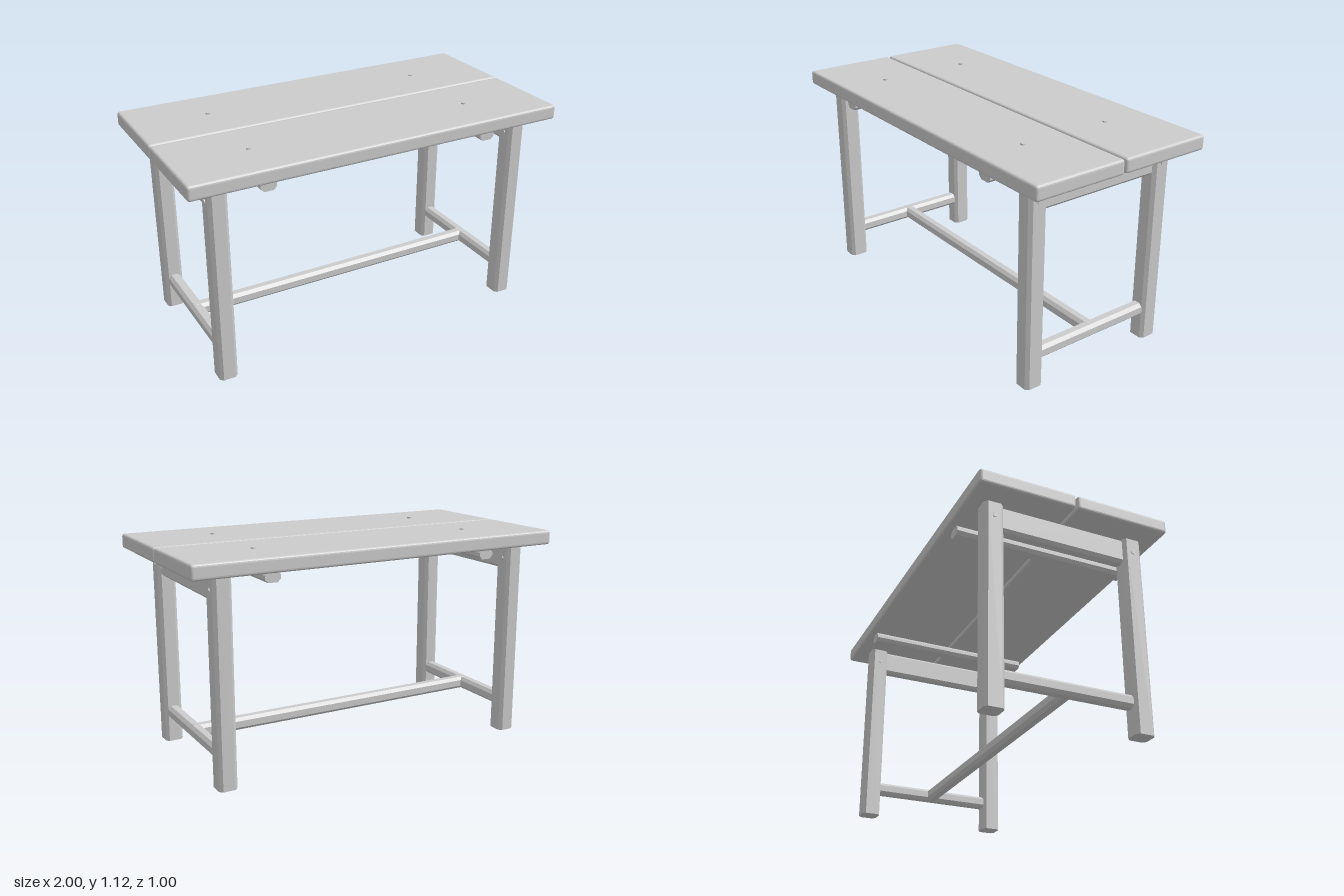
import * as THREE from 'three';
import { RoundedBoxGeometry } from 'three/addons/geometries/RoundedBoxGeometry.js';

const wood = new THREE.MeshStandardMaterial({ color: 0xcccccc, flatShading: true });

// Straight bar with four chamfered long edges, centred, running along z
function barGeometry(w, h, length, c) {
  const x = w / 2, y = h / 2;
  const s = new THREE.Shape([
    [x - c, -y], [x, -y + c], [x, y - c], [x - c, y],
    [-x + c, y], [-x, y - c], [-x, -y + c], [-x + c, -y],
  ].map(([a, b]) => new THREE.Vector2(a, b)));
  return new THREE.ExtrudeGeometry(s, { depth: length, bevelEnabled: false }).translate(0, 0, -length / 2);
}

function add(parent, name, geometry, x, y, z) {
  const mesh = new THREE.Mesh(geometry, wood);
  mesh.name = name;
  mesh.position.set(x, y, z);
  parent.add(mesh);
  return mesh;
}

export function createModel() {
  const table = new THREE.Group();
  table.name = 'table';

  // Two top planks with a narrow gap
  const plank = new RoundedBoxGeometry(2, 0.075, 0.496, 2, 0.014);
  add(table, 'frontPlank', plank, 0, 1.071, 0.252);
  add(table, 'backPlank', plank, 0, 1.071, -0.252);

  // Base sits a hair off centre under the top
  const base = new THREE.Group();
  base.name = 'base';
  base.position.set(-0.005, 0, 0.002);
  table.add(base);

  const leg = barGeometry(0.094, 0.099, 1.034, 0.016).rotateX(-Math.PI / 2);
  const apron = barGeometry(0.06, 0.134, 0.66, 0.015);
  const sideRail = barGeometry(0.065, 0.066, 0.66, 0.016);
  const batten = barGeometry(0.08, 0.05, 0.925, 0.016);
  const screw = new THREE.CylinderGeometry(0.012, 0.013, 0.02, 12);
  const bolt = new THREE.CylinderGeometry(0.011, 0.011, 0.104, 12).rotateZ(Math.PI / 2);

  for (const sx of [-1, 1]) {
    const side = sx > 0 ? 'left' : 'right';
    for (const sz of [-1, 1]) {
      const end = sz > 0 ? 'Front' : 'Back';
      add(base, `${side}${end}Leg`, leg, sx * 0.829, 0.517, sz * 0.373);
      add(base, `${side}${end}Bolt`, bolt, sx * 0.829, 0.96, sz * 0.373);
      add(base, `${side}${end}Screw`, screw, sx * 0.602, 1.105, sz * 0.25);
    }
    add(base, `${side}Apron`, apron, sx * 0.829, 0.967, 0);
    add(base, `${side}Rail`, sideRail, sx * 0.829, 0.163, 0);
    add(base, `${side}Batten`, batten, sx * 0.602, 1.009, 0);
  }

  // Long rail joining the two side rails
  const longRail = barGeometry(0.065, 0.066, 1.68, 0.016).rotateY(Math.PI / 2);
  add(base, 'longRail', longRail, 0, 0.164, 0);

  return table;
}
